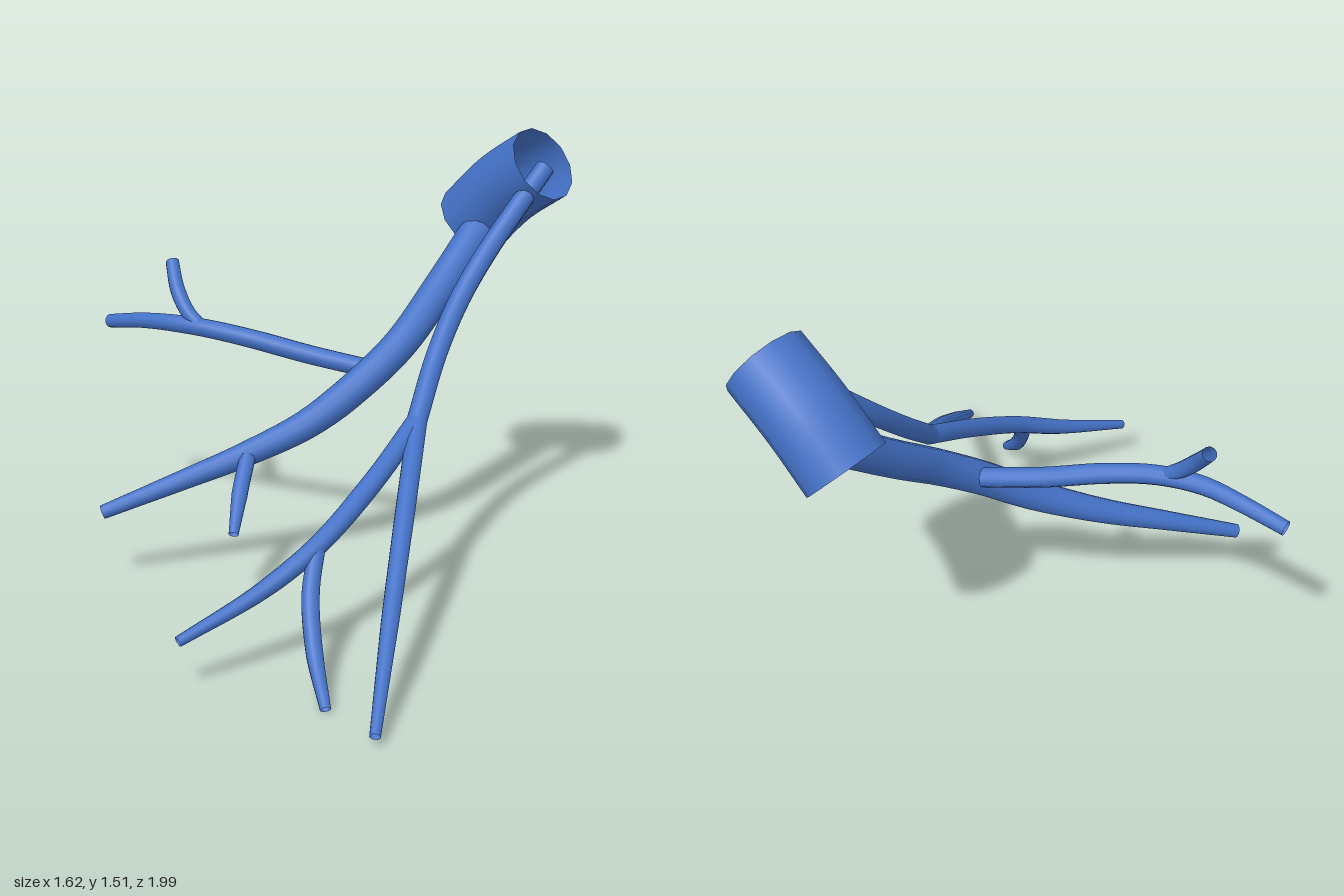
import * as THREE from 'three';

const blue = new THREE.MeshStandardMaterial({ color: 0x4472c8, side: THREE.DoubleSide });
blue.name = 'vessel blue';

// Open tube along a smooth path; its radius is interpolated through the given radii.
function taperedTube(name, points, radii, segments = 28, sides = 12) {
  const curve = new THREE.CatmullRomCurve3(points.map(p => new THREE.Vector3(...p)));
  const geometry = new THREE.TubeGeometry(curve, segments, 1, sides);
  const position = geometry.attributes.position;
  const vertex = new THREE.Vector3();
  for (let i = 0; i <= segments; i++) {
    const t = i / segments;
    const centre = curve.getPointAt(t);
    const s = t * (radii.length - 1);
    const k = Math.min(Math.floor(s), radii.length - 2);
    const radius = THREE.MathUtils.lerp(radii[k], radii[k + 1], s - k);
    for (let j = 0; j <= sides; j++) {
      const n = i * (sides + 1) + j;
      vertex.fromBufferAttribute(position, n).sub(centre).multiplyScalar(radius).add(centre);
      position.setXYZ(n, vertex.x, vertex.y, vertex.z);
    }
  }
  const mesh = new THREE.Mesh(geometry, blue);
  mesh.name = name;
  return mesh;
}

export function createModel() {
  const model = new THREE.Group();
  model.name = 'branchingVessels';

  // Wide trunk, open at both ends
  model.add(taperedTube('trunk',
    [[0.44, 1.15, -0.86], [0.568, 1.288, -0.803], [0.715, 1.40, -0.725]], [0.14, 0.138], 10));

  // Thick main branch with its side branches
  model.add(taperedTube('mainBranch',
    [[0.50, 1.17, -0.775], [0.40, 0.97, -0.55], [0.31, 0.81, -0.36], [0.20, 0.69, -0.235],
      [0.05, 0.565, -0.13], [-0.15, 0.46, -0.03], [-0.35, 0.375, 0.07], [-0.59, 0.275, 0.19]],
    [0.062, 0.06, 0.056, 0.04, 0.024], 40));
  model.add(taperedTube('upperSideBranch',
    [[0.20, 0.735, -0.285], [0, 0.765, -0.28], [-0.2, 0.805, -0.267], [-0.37, 0.828, -0.267],
      [-0.52, 0.83, -0.29], [-0.65, 0.815, -0.335], [-0.80, 0.785, -0.39]],
    [0.033, 0.034, 0.032, 0.025]));
  model.add(taperedTube('upperTwig',
    [[-0.40, 0.835, -0.27], [-0.45, 0.875, -0.285], [-0.505, 0.945, -0.325], [-0.55, 1.03, -0.39]],
    [0.025, 0.027, 0.024], 14));
  model.add(taperedTube('lowerTwig',
    [[-0.13, 0.46, -0.01], [-0.122, 0.38, 0.085], [-0.103, 0.265, 0.21]],
    [0.028, 0.028, 0.017], 14));

  // Slender branch, entering the trunk near its open end and forking below
  model.add(taperedTube('slenderBranch',
    [[0.725, 1.39, -0.715], [0.655, 1.27, -0.62], [0.572, 1.12, -0.49], [0.512, 0.98, -0.36],
      [0.477, 0.83, -0.2], [0.465, 0.66, 0]],
    [0.034, 0.036, 0.036, 0.035], 32));
  model.add(taperedTube('outerFork',
    [[0.467, 0.66, 0], [0.507, 0.50, 0.27], [0.558, 0.27, 0.63], [0.61, 0.04, 0.985]],
    [0.033, 0.032, 0.028, 0.017]));
  model.add(taperedTube('innerFork',
    [[0.465, 0.66, 0], [0.39, 0.53, 0.24], [0.28, 0.39, 0.485], [0.15, 0.285, 0.65],
      [-0.045, 0.18, 0.86]],
    [0.034, 0.034, 0.03, 0.017]));
  model.add(taperedTube('innerForkTwig',
    [[0.278, 0.385, 0.49], [0.292, 0.27, 0.60], [0.34, 0.135, 0.71], [0.415, 0.018, 0.835]],
    [0.027, 0.029, 0.027, 0.017], 18));

  return model;
}
